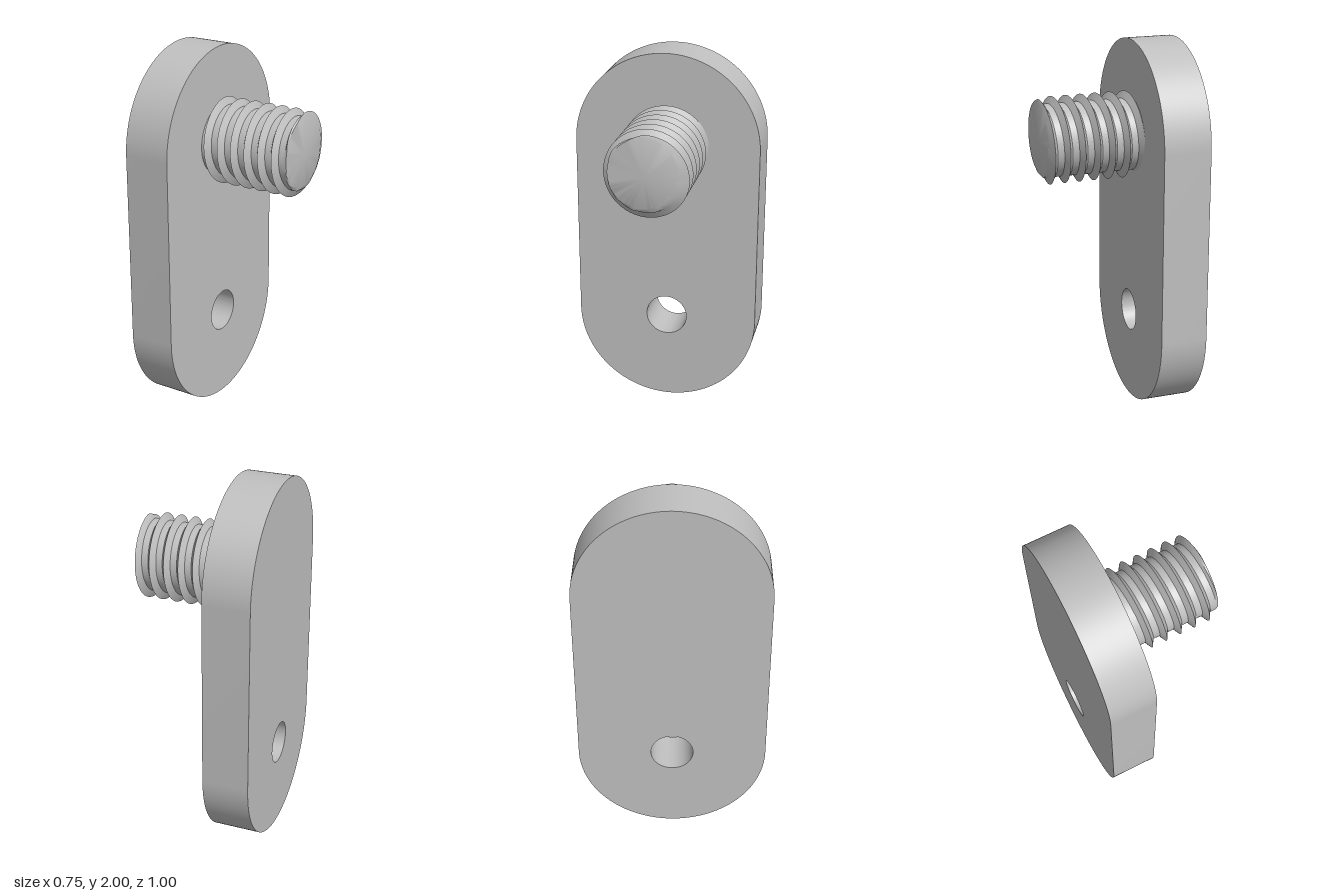
import * as THREE from 'three';
import { toCreasedNormals } from 'three/addons/utils/BufferGeometryUtils.js';

const X0 = -0.126, X1 = 0.375;       // stud from plate face to tip
const PITCH = 0.0795, CORE = 0.19, CREST = 0.227, HALF = 0.022;

// Tip radius around the stud: the last thread turn runs out at the end face
function tipRadius(a) {
  const r = [0.164, 0.21, 0.19, 0.164];  // back, top, front, bottom
  const q = (a / (Math.PI / 2)) % 4, i = Math.floor(q);
  return THREE.MathUtils.lerp(r[i], r[(i + 1) % 4], q - i);
}

// Threaded stud: rows follow the helix, clamped to the stud's ends
function studGeometry() {
  const N = 96, pos = [], index = [];
  const offsets = [-0.022, -0.011, 0, 0.011, 0.022, 0.03, 0.04, 0.05];
  const rows = [];
  for (let k = -3; k <= 6; k++) for (const o of offsets) rows.push([k * PITCH, o]);
  for (const [base, o] of rows) {
    for (let i = 0; i <= N; i++) {
      const a = (i / N) * Math.PI * 2;
      const peak = -0.047 + base + PITCH * i / N;
      const x = THREE.MathUtils.clamp(peak + o, X0, X1);
      const d = (x - peak) - PITCH * Math.round((x - peak) / PITCH);
      const thread = CORE + (CREST - CORE) * Math.max(0, 1 - Math.abs(d) / HALF);
      const r = Math.min(thread, tipRadius(a) + (X1 - x) * 2.5);
      pos.push(x, r * Math.sin(a), -r * Math.cos(a));
    }
  }
  // End face closes on the axis
  for (let i = 0; i <= N; i++) pos.push(X1, 0, 0);
  for (let j = 0; j < rows.length; j++) {
    for (let i = 0; i < N; i++) {
      const p = j * (N + 1) + i, q = p + N + 1;
      index.push(p, p + 1, q, p + 1, q + 1, q);
    }
  }
  const g = new THREE.BufferGeometry();
  g.setAttribute('position', new THREE.Float32BufferAttribute(pos, 3));
  g.setIndex(index);
  return toCreasedNormals(g, 0.45);
}

// Rounded plate with a through hole near the bottom
function plateGeometry() {
  const s = new THREE.Shape();
  s.absarc(0, 1.5, 0.5, 0, Math.PI, false);
  s.absarc(0, 0.5, 0.5, Math.PI, Math.PI * 2, false);
  s.closePath();
  const hole = new THREE.Path();
  hole.absarc(0, 0.5, 0.113, 0, Math.PI * 2, true);
  s.holes.push(hole);
  const g = new THREE.ExtrudeGeometry(s, { depth: 0.25, bevelEnabled: false, curveSegments: 48 });
  g.rotateY(Math.PI / 2).translate(-0.375, 0, 0);
  return toCreasedNormals(g, 0.5);
}

export function createModel() {
  const steel = new THREE.MeshStandardMaterial({ color: 0xbfbfbf });
  steel.name = 'steel grey';

  const plate = new THREE.Mesh(plateGeometry(), steel);
  plate.name = 'plate';

  const stud = new THREE.Mesh(studGeometry(), steel);
  stud.name = 'threadedStud';
  stud.position.y = 1.5;

  const model = new THREE.Group();
  model.name = 'studPlate';
  model.add(plate, stud);
  return model;
}
